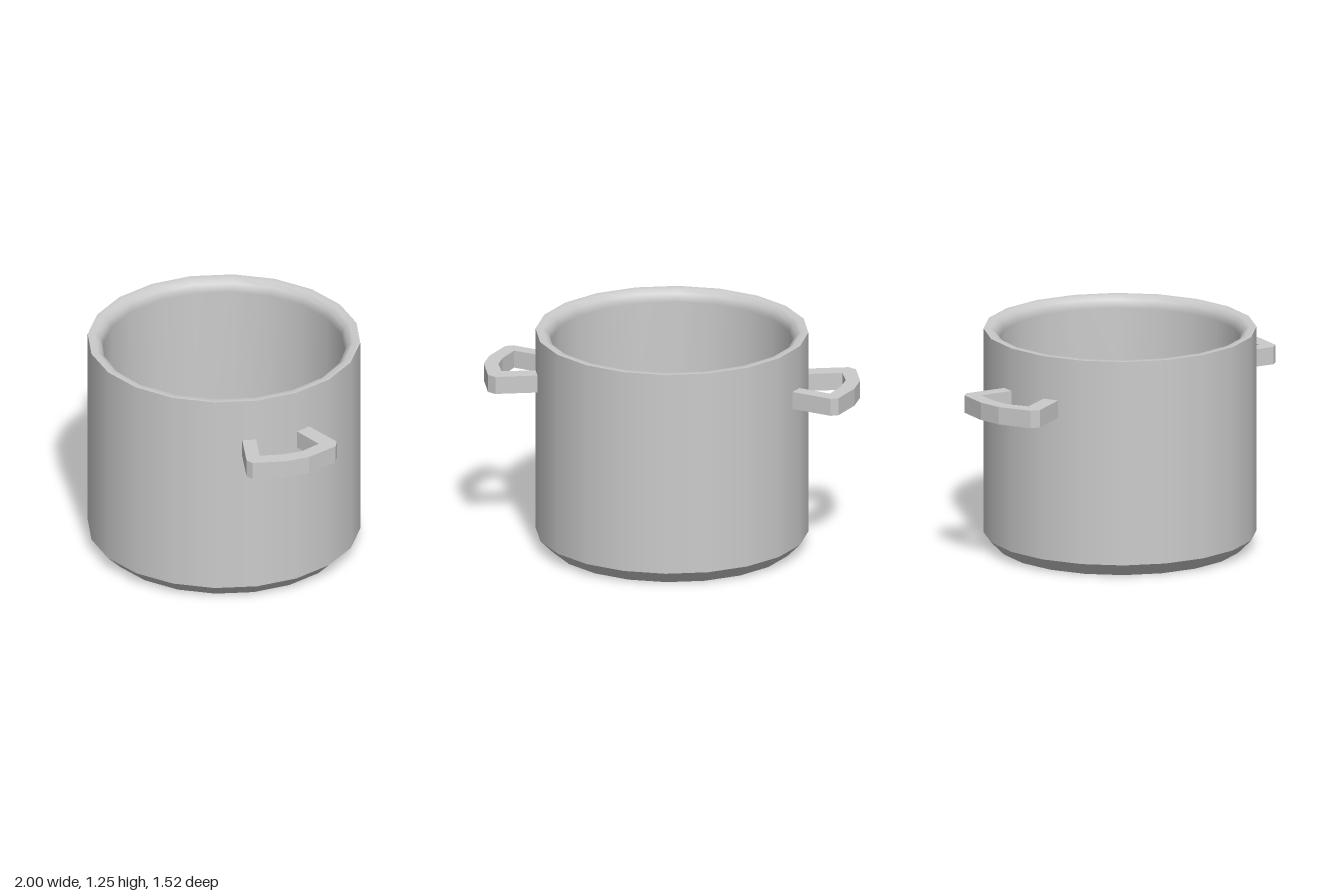
import * as THREE from 'three';

const SIDES = 20;
const material = new THREE.MeshStandardMaterial({ color: 0xcccccc });

// One smooth band of the pot; separate bands keep the edges between them sharp
function band(name, profile) {
  const points = profile.map(([r, y]) => new THREE.Vector2(r, y));
  const mesh = new THREE.Mesh(new THREE.LatheGeometry(points, SIDES), material);
  mesh.name = name;
  return mesh;
}

// Flat bracket handle, outlined in plan (x, z) and given its thickness in y
function handle(name, turn) {
  const outline = [
    [0.70, 0.135], [0.97, 0.18], [1.0, 0.225], [0.97, 0.42], [0.905, 0.54],
    [0.775, 0.675], [0.73, 0.675], [0.53, 0.48],
    [0.59, 0.43], [0.75, 0.585], [0.845, 0.48], [0.895, 0.39], [0.91, 0.265], [0.69, 0.225],
  ];
  const shape = new THREE.Shape(outline.map(([x, z]) => new THREE.Vector2(x, z)));
  const geometry = new THREE.ExtrudeGeometry(shape, { depth: 0.1, bevelEnabled: false });
  geometry.rotateX(Math.PI / 2).translate(0, 1, 0);
  const mesh = new THREE.Mesh(geometry, material);
  mesh.name = name;
  mesh.rotation.y = turn;
  return mesh;
}

export function createModel() {
  const model = new THREE.Group();
  model.name = 'cookingPot';

  // Outside of the pot, from the base up
  model.add(band('base', [[0, 0], [0.685, 0]]));
  model.add(band('baseChamfer', [[0.685, 0], [0.76, 0.075]]));
  model.add(band('outerWall', [[0.76, 0.075], [0.76, 1.245]]));

  // Rounded rim running into the inner wall, then the floor
  model.add(band('rimAndInnerWall', [
    [0.76, 1.245], [0.72, 1.245], [0.69, 1.225], [0.675, 1.18], [0.675, 0.08],
  ]));
  model.add(band('floor', [[0.675, 0.08], [0, 0.08]]));

  // Two handles on opposite sides
  model.add(handle('leftHandle', 0), handle('rightHandle', Math.PI));
  return model;
}
